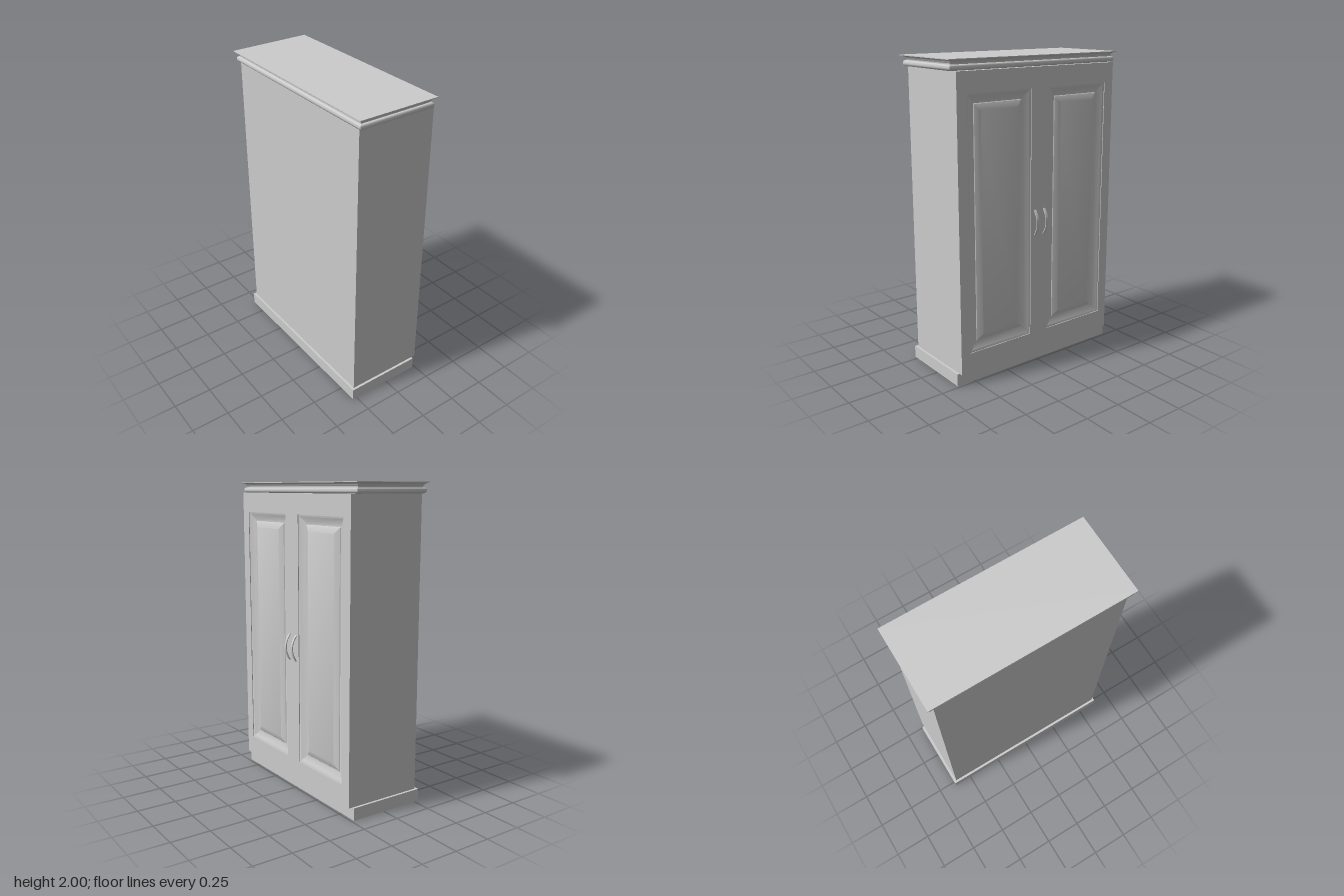
import * as THREE from 'three';
import { toCreasedNormals } from 'three/addons/utils/BufferGeometryUtils.js';

const material = new THREE.MeshStandardMaterial({ color: 0xcccccc });

function mesh(name, geometry) {
  const m = new THREE.Mesh(geometry, material);
  m.name = name;
  return m;
}

function box(name, x0, x1, y0, y1, z0, z1) {
  const m = mesh(name, new THREE.BoxGeometry(x1 - x0, y1 - y0, z1 - z0));
  m.position.set((x0 + x1) / 2, (y0 + y1) / 2, (z0 + z1) / 2);
  return m;
}

// Closed solid through rectangles [halfX, halfZ, y], with mitred corners
function rectLoft(rings) {
  const loops = rings.map(([hx, hz, y]) =>
    [[hx, y, hz], [hx, y, -hz], [-hx, y, -hz], [-hx, y, hz]]);
  const pos = [];
  const quad = (a, b, c, d) => pos.push(...a, ...b, ...c, ...a, ...c, ...d);
  for (let r = 0; r < loops.length - 1; r++) {
    const lo = loops[r], hi = loops[r + 1];
    for (let i = 0; i < 4; i++) {
      const j = (i + 1) % 4;
      quad(lo[i], lo[j], hi[j], hi[i]);
    }
  }
  quad(...loops[0].slice().reverse());
  quad(...loops[loops.length - 1]);
  const g = new THREE.BufferGeometry();
  g.setAttribute('position', new THREE.Float32BufferAttribute(pos, 3));
  return toCreasedNormals(g, 0.5);
}

// Crown moulding: rounded bead, neck, then a flared cove up to the top board
function crown() {
  const profile = [[0.026, 1.932]];
  for (let i = 0; i <= 8; i++) {
    const a = -Math.PI / 2 + (i / 8) * Math.PI;
    profile.push([0.024 - 0.012 * Math.cos(a), 1.95 + 0.017 * Math.sin(a)]);
  }
  profile.push([0.028, 1.967], [0.028, 1.974]);
  for (let i = 1; i <= 6; i++) {
    const a = (i / 6) * Math.PI / 2;
    profile.push([0.003 + 0.022 * Math.cos(a), 1.974 + 0.02 * Math.sin(a)]);
  }
  profile.push([0, 1.995], [0, 2]);
  const m = mesh('crownMoulding', rectLoft(profile.map(([inset, y]) => [0.65 - inset, 0.269 - inset, y])));
  m.position.z = 0.02;
  return m;
}

// Door: frame, sloped moulding, sunk groove and bevelled raised panel
function door(side) {
  const w = 0.3055, h = 0.926, t = 0.035;
  const ow = w - 0.07, oh = h - 0.128; // frame opening
  const rings = [[w, h, 0], [w, h, t], [ow, oh, t]];
  const profile = [[0, 0.005], [0.012, 0.008], [0.05, 0.027], [0.06, 0.027], [0.063, 0.023], [0.1, 0.007]];
  for (const [inset, depth] of profile) rings.push([ow - inset, oh - inset, t - depth]);
  const m = mesh('door', rectLoft(rings));
  m.rotation.x = -Math.PI / 2;
  m.position.set(side * w, 1.006, -0.225);
  return m;
}

// Bowed flat-strip pull
function handle(side) {
  const s = new THREE.Shape();
  s.moveTo(-0.001, -0.088);
  s.quadraticCurveTo(0.068, 0.005, -0.001, 0.088);
  s.lineTo(-0.001, 0.079);
  s.quadraticCurveTo(0.056, 0.005, -0.001, -0.079);
  s.closePath();
  const g = new THREE.ExtrudeGeometry(s, { depth: 0.017, bevelEnabled: false, curveSegments: 14 });
  g.translate(0, 0, -0.0085);
  g.rotateY(Math.PI / 2); // profile x -> -z
  const m = mesh('handle', toCreasedNormals(g, 0.5));
  m.position.set(side * 0.037, 0.958, -0.26);
  return m;
}

export function createModel() {
  const group = new THREE.Group();
  group.name = 'wardrobe';
  group.add(
    box('plinth', -0.627, 0.627, 0, 0.08, -0.233, 0.279),
    box('carcass', -0.611, 0.611, 0.08, 1.932, -0.225, 0.263),
    crown()
  );
  for (const side of [-1, 1]) group.add(door(side), handle(side));
  return group;
}
